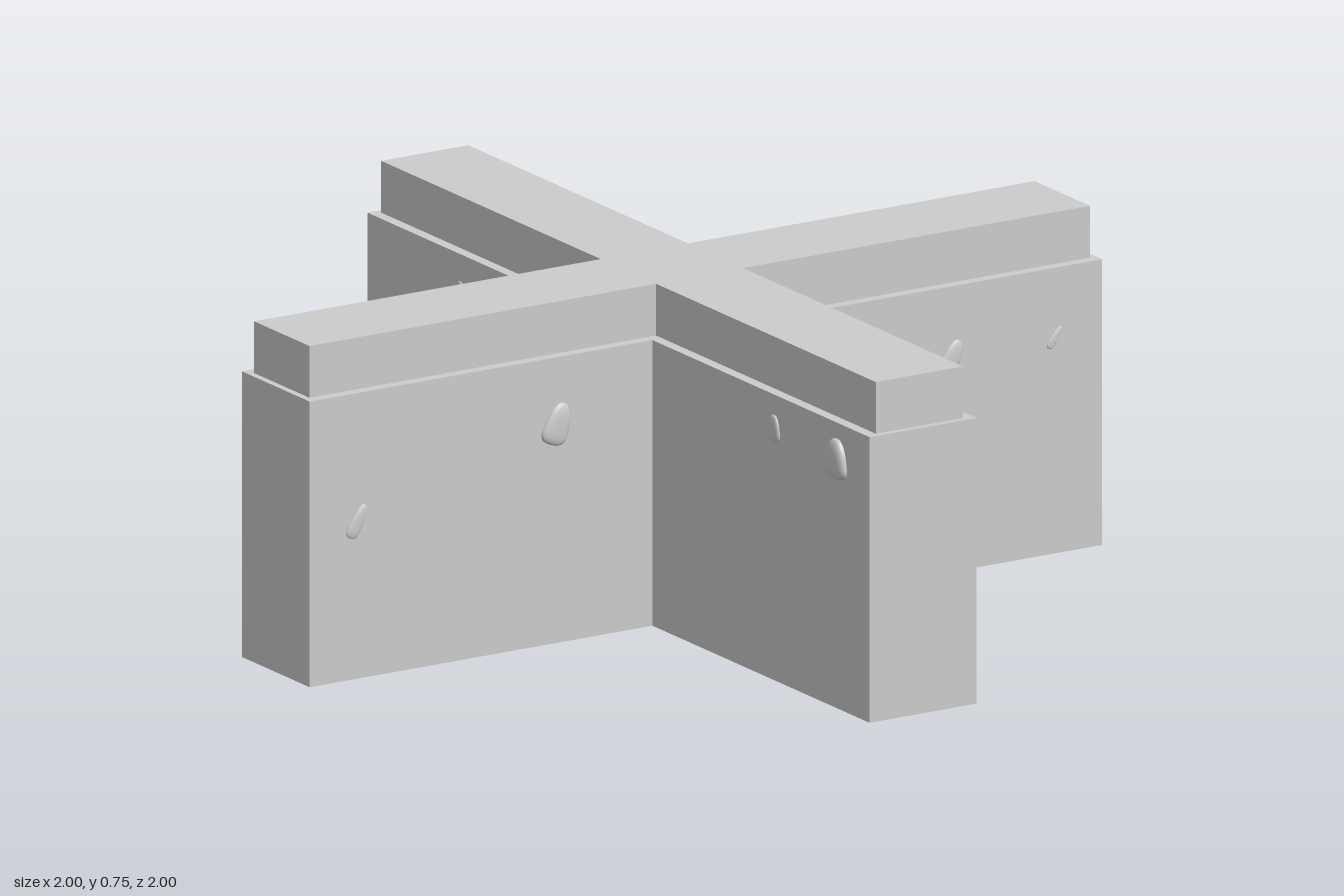
import * as THREE from 'three';

const material = new THREE.MeshStandardMaterial({ color: 0xcccccc });

// Upright prism with a plus-shaped plan
function crossPrism(name, half, reach, y0, y1) {
  const h = half, r = reach;
  const pts = [[h, h], [h, r], [-h, r], [-h, h], [-r, h], [-r, -h],
    [-h, -h], [-h, -r], [h, -r], [h, -h], [r, -h], [r, h]];
  const shape = new THREE.Shape(pts.map(([x, y]) => new THREE.Vector2(x, y)));
  const geo = new THREE.ExtrudeGeometry(shape, { depth: y1 - y0, bevelEnabled: false });
  geo.rotateX(-Math.PI / 2);
  geo.translate(0, y0, 0);
  const mesh = new THREE.Mesh(geo, material);
  mesh.name = name;
  return mesh;
}

// Rounded stone: boxy lower half, domed and narrower top, flattened face
function stoneGeometry() {
  const geo = new THREE.SphereGeometry(1, 20, 14);
  const p = geo.attributes.position;
  const boxy = (v, e) => Math.sign(v) * Math.abs(v) ** e;
  for (let i = 0; i < p.count; i++) {
    const y = boxy(p.getY(i), p.getY(i) < 0 ? 0.6 : 0.85);
    p.setXYZ(i, boxy(p.getX(i), 0.75) * (0.86 - 0.22 * y), y, boxy(p.getZ(i), 0.8));
  }
  geo.computeVertexNormals();
  return geo;
}

export function createModel() {
  const model = new THREE.Group();
  model.add(crossPrism('wallBody', 0.135, 1, 0, 0.635));
  model.add(crossPrism('wallCap', 0.11, 0.985, 0.635, 0.75));

  // Stones set in each wall side: along the wall, height, width, height, bulge, tilt
  const sides = {
    front: [
      [-0.375, 0.487, 0.07, 0.095, 0.012, -0.35], [-0.88, 0.35, 0.035, 0.08, 0.006, -0.5],
      [0.375, 0.54, 0.045, 0.085, 0.007, -0.5], [0.62, 0.475, 0.052, 0.085, 0.008, -0.45],
      [0.88, 0.48, 0.02, 0.055, 0.004, -0.6], [0.14, 0.58, 0.05, 0.085, 0.03, 0],
    ],
    back: [
      [0.375, 0.46, 0.085, 0.1, 0.02, 0.3], [0.62, 0.53, 0.045, 0.08, 0.008, 0.5],
      [0.88, 0.59, 0.035, 0.07, 0.006, 0.5], [-0.87, 0.386, 0.03, 0.07, 0.005, 0.5],
      [0.14, 0.47, 0.04, 0.09, 0.018, 0], [0.14, 0.375, 0.03, 0.05, 0.02, 0],
    ],
    left: [
      [0.88, 0.412, 0.105, 0.1, 0.02, 0], [0.63, 0.38, 0.1, 0.09, 0.018, 0],
      [-0.62, 0.562, 0.11, 0.1, 0.023, 0], [-0.87, 0.44, 0.04, 0.05, 0.005, 0],
    ],
    right: [
      [-0.38, 0.57, 0.095, 0.11, 0.026, 0], [0.87, 0.555, 0.085, 0.09, 0.016, 0],
      [0.62, 0.56, 0.05, 0.06, 0.007, 0], [-0.63, 0.55, 0.04, 0.05, 0.005, 0],
    ],
  };
  const geo = stoneGeometry();
  for (const [side, stones] of Object.entries(sides)) {
    const group = new THREE.Group();
    group.name = side + 'Stones';
    const onX = side === 'left' || side === 'right';
    const sign = side === 'front' || side === 'left' ? 1 : -1;
    for (const [along, y, w, h, bulge, tilt] of stones) {
      const stone = new THREE.Mesh(geo, material);
      stone.name = 'stone';
      stone.position.set(onX ? sign * 0.135 : along, y, onX ? along : sign * 0.135);
      stone.rotation.set(0, onX ? Math.PI / 2 : 0, tilt, 'YXZ');
      stone.scale.set(w / 2, h / 2, bulge);
      group.add(stone);
    }
    model.add(group);
  }
  return model;
}
